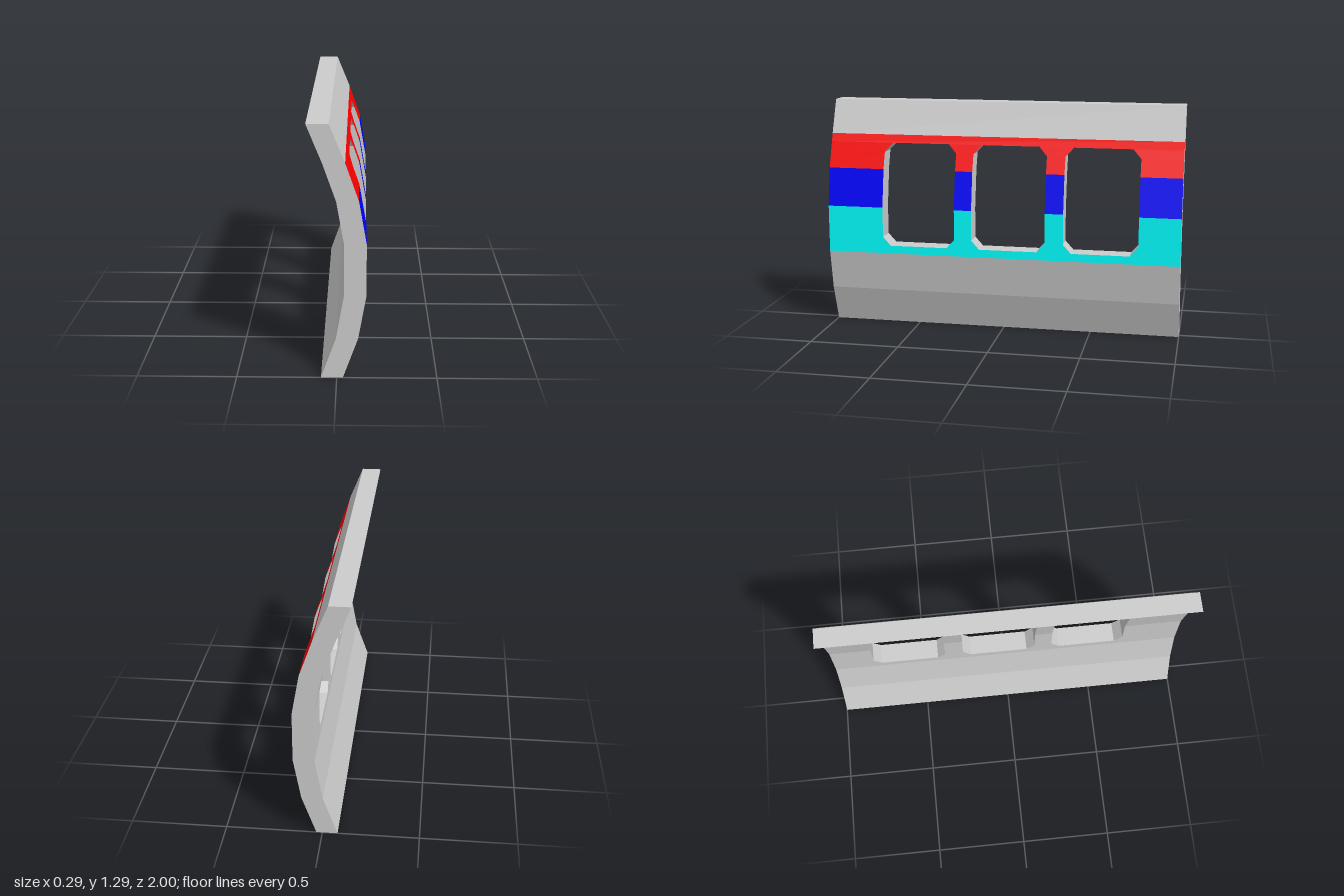
import * as THREE from 'three';

const GREY = 0xcccccc;
const THICK = 0.11;
const WINDOWS = [0.472, -0.043, -0.562]; // window centres along z

// Rows up the wall: height, outer x, half-width of the window opening (0 = none)
const BENDS = [[0, 0.031], [0.21, 0.106], [0.435, 0.146], [0.7, 0.146], [0.915, 0.108], [1.105, 0.041], [1.293, -0.036]];
const OPENING = [[0.48, 0.163], [0.53, 0.208], [0.7, 0.208], [0.915, 0.208], [1.01, 0.208], [1.06, 0.163]];
const ROWS = [0, 0.21, 0.435, 0.48, 0.53, 0.7, 0.915, 1.01, 1.06, 1.105, 1.293];

function outerX(y) {
  let i = 0;
  while (i < BENDS.length - 2 && y > BENDS[i + 1][0]) i++;
  const [y0, x0] = BENDS[i], [y1, x1] = BENDS[i + 1];
  return x0 + (x1 - x0) * (y - y0) / (y1 - y0);
}
const outer = ([z, y]) => [outerX(y), y, z];
const inner = ([z, y]) => [outerX(y) - THICK, y, z];

// Corners run counter-clockwise seen from the front of the face
function quad(list, a, b, c, d) {
  list.push(...a, ...b, ...c, ...a, ...c, ...d);
}

// Faces through the wall thickness along a closed path of [z, y] points
function rim(list, path) {
  path.forEach((p, i) => {
    const q = path[(i + 1) % path.length];
    quad(list, outer(p), outer(q), inner(q), inner(p));
  });
}

// Solid stretches of a row, each as [z at y0, z at y1] pairs for both ends
function stretches(y0, y1) {
  const half = (y) => OPENING.find((o) => o[0] === y)?.[1];
  const h0 = half(y0), h1 = half(y1);
  if (!h0 || !h1) return [[[1, 1], [-1, -1]]];
  const result = [];
  let start = [1, 1];
  for (const c of WINDOWS) {
    result.push([start, [c + h0, c + h1]]);
    start = [c - h0, c - h1];
  }
  result.push([start, [-1, -1]]);
  return result;
}

function addMesh(group, name, list, color) {
  const geometry = new THREE.BufferGeometry();
  geometry.setAttribute('position', new THREE.Float32BufferAttribute(list, 3));
  geometry.computeVertexNormals();
  const mesh = new THREE.Mesh(geometry, new THREE.MeshStandardMaterial({ color, flatShading: true }));
  mesh.name = name;
  group.add(mesh);
}

export function createModel() {
  const group = new THREE.Group();
  group.name = 'curvedWindowWall';

  // Outer skin is split into coloured bands; the inner skin is one part
  const bands = [
    { name: 'lowerPanel', top: 0.435, color: GREY, list: [] },
    { name: 'cyanBand', top: 0.7, color: 0x00ffff, list: [] },
    { name: 'blueBand', top: 0.915, color: 0x0000ff, list: [] },
    { name: 'redBand', top: 1.105, color: 0xff0000, list: [] },
    { name: 'upperPanel', top: 1.293, color: GREY, list: [] },
  ];
  const innerSkin = [];
  for (let i = 0; i < ROWS.length - 1; i++) {
    const y0 = ROWS[i], y1 = ROWS[i + 1];
    const band = bands.find((b) => y1 <= b.top);
    for (const [l, r] of stretches(y0, y1)) {
      const corners = [[l[0], y0], [r[0], y0], [r[1], y1], [l[1], y1]];
      quad(band.list, ...corners.map(outer));
      quad(innerSkin, ...corners.map(inner).reverse());
    }
  }
  for (const b of bands) addMesh(group, b.name, b.list, b.color);
  addMesh(group, 'innerSkin', innerSkin, GREY);

  // Ends, bottom and top of the wall
  const edges = [];
  const right = BENDS.map(([y]) => [-1, y]);
  const left = BENDS.map(([y]) => [1, y]).reverse();
  rim(edges, [...right, ...left].reverse());
  addMesh(group, 'outerEdges', edges, GREY);

  // Window reveals with clipped corners
  for (const c of WINDOWS) {
    const reveal = [];
    const up = OPENING.map(([y, h]) => [c - h, y]);
    const down = OPENING.map(([y, h]) => [c + h, y]).reverse();
    rim(reveal, [...up, ...down]);
    addMesh(group, 'windowReveal', reveal, GREY);
  }
  return group;
}
